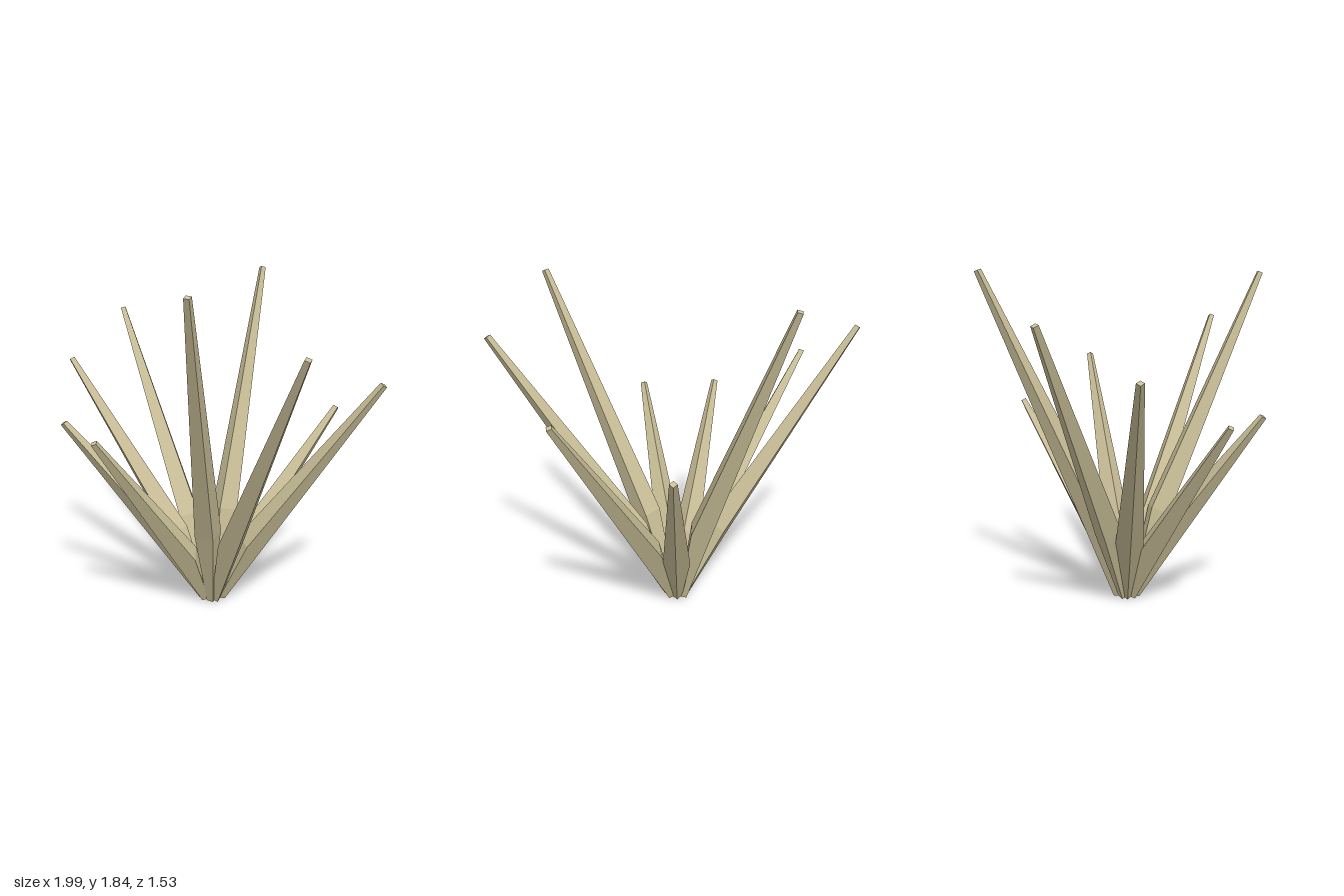
import * as THREE from 'three';

// One four-sided spike: narrow foot, swelling at a quarter of its length, slim tip.
// Its outer ridge stays straight, so the swelling grows towards the middle of the tuft.
function spikeGeometry(tip, twist) {
  const flat = new THREE.Vector3(tip.x - 0.02, 0, tip.z + 0.01).normalize();
  const foot = flat.clone().multiplyScalar(0.075).add(new THREE.Vector3(0.02, 0.005, -0.01));
  const axis = tip.clone().sub(foot).normalize();
  const out = flat.clone().addScaledVector(axis, -flat.dot(axis)).normalize();
  const side = axis.clone().cross(out);
  const end = tip.clone().addScaledVector(out, 0.018);
  const along = [0, 0.25, 1];
  const radius = [0.028, 0.077, 0.02];

  const geo = new THREE.CylinderGeometry(1, 1, 1, 4, 2);
  const pos = geo.attributes.position;
  const p = new THREE.Vector3();
  const c = Math.cos(twist), s = Math.sin(twist);
  for (let i = 0; i < pos.count; i++) {
    const level = Math.round((pos.getY(i) + 0.5) * 2);
    const r = radius[level];
    const x = pos.getX(i), z = pos.getZ(i);
    p.lerpVectors(foot, end, along[level]);
    p.addScaledVector(side, r * (x * c + z * s));
    p.addScaledVector(out, r * (z * c - x * s - 1));
    pos.setXYZ(i, p.x, p.y, p.z);
  }
  // separate faces give hard facets
  const faceted = geo.toNonIndexed();
  faceted.computeVertexNormals();
  return faceted;
}

export function createModel() {
  const group = new THREE.Group();
  group.name = 'spikyPlant';
  const dryLeaf = new THREE.MeshStandardMaterial({ color: 0xcabf98 });
  dryLeaf.name = 'dryLeaf';

  // tip x, y, z and twist about the spike's own axis
  const spikes = [
    [-0.36, 1.84, -0.71, 0],
    [0.25, 1.08, -0.75, 0],
    [0.78, 1.33, -0.52, 0],
    [0.98, 1.58, 0.24, 0],
    [0.61, 1.84, 0.61, 0.5],
    [0.02, 1.08, 0.75, 0],
    [-0.42, 1.08, 0.67, 0],
    [-0.86, 1.33, 0.35, 0],
    [-0.98, 1.58, -0.1, 0.2],
  ];
  spikes.forEach(([x, y, z, twist], i) => {
    const spike = new THREE.Mesh(spikeGeometry(new THREE.Vector3(x, y, z), twist), dryLeaf);
    spike.name = `spike${i + 1}`;
    group.add(spike);
  });
  return group;
}
